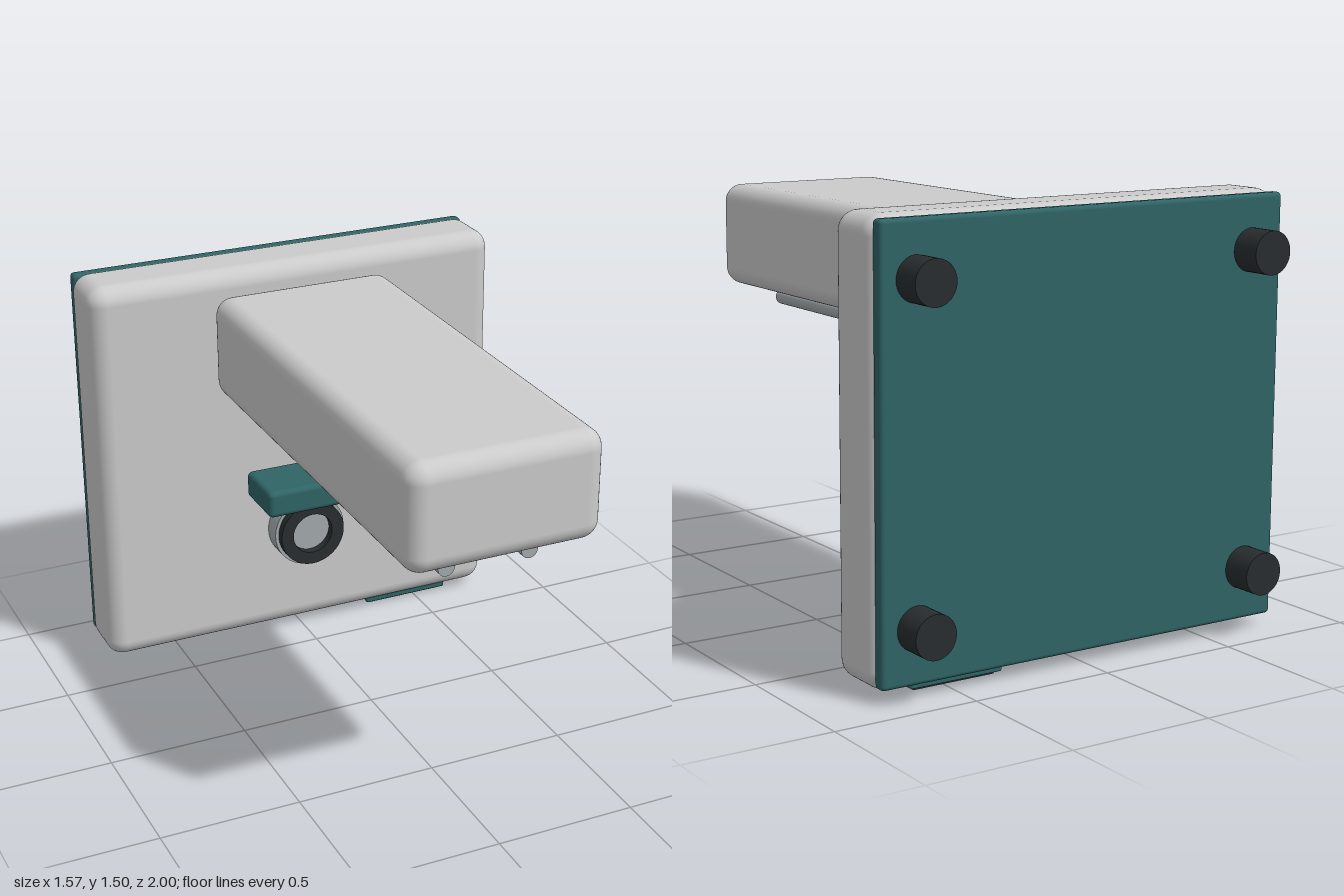
import * as THREE from 'three';
import { RoundedBoxGeometry } from 'three/addons/geometries/RoundedBoxGeometry.js';

const mat = (color) => new THREE.MeshStandardMaterial({ color });

export function createModel() {
  const model = new THREE.Group();
  const shell = mat(0xd3d7d4), teal = mat(0x2f6466), black = mat(0x282d2f);
  const metal = mat(0xa3abad), paleTeal = mat(0x8fb3ad), blue = mat(0x34658a);

  const add = (name, geometry, material, x = 0, y = 0, z = 0) => {
    const mesh = new THREE.Mesh(geometry, material);
    mesh.name = name;
    mesh.position.set(x, y, z);
    model.add(mesh);
    return mesh;
  };
  // Box given by its limits; r rounds the edges
  const box = (name, material, [x0, x1], [y0, y1], [z0, z1], r = 0) => {
    const size = [x1 - x0, y1 - y0, z1 - z0];
    const geometry = r ? new RoundedBoxGeometry(...size, 5, r) : new THREE.BoxGeometry(...size);
    return add(name, geometry, material, (x0 + x1) / 2, (y0 + y1) / 2, (z0 + z1) / 2);
  };
  // Cylinder lying along z
  const rod = (name, material, r, x, y, z0, z1) =>
    add(name, new THREE.CylinderGeometry(r, r, z1 - z0, 40).rotateX(Math.PI / 2), material, x, y, (z0 + z1) / 2);

  // Main housing and back cover
  box('housing', shell, [-0.785, 0.785], [0.027, 1.495], [-0.87, -0.622], 0.065);
  box('backCover', teal, [-0.773, 0.773], [0.045, 1.485], [-0.893, -0.845], 0.015);

  // Four mounting feet on the back
  for (const x of [-0.645, 0.645])
    for (const y of [0.227, 1.302]) rod('mountingFoot', black, 0.073, x, y, -1, -0.89);

  // Projecting arm with the plate and rails below it
  box('arm', shell, [-0.34, 0.34], [1.045, 1.42], [-0.622, 1], 0.065);
  box('armPlate', paleTeal, [-0.21, 0.21], [1.028, 1.05], [-0.39, 0.89], 0.006);
  for (const x of [-0.147, 0.147]) rod('rail', metal, 0.029, x, 0.993, -0.355, 0.87);

  // Small shelf in front of the housing
  box('shelf', teal, [-0.263, 0.263], [0.658, 0.76], [-0.52, -0.298], 0.02);

  // Round socket: collar with a raised dark ring
  rod('socketCollar', metal, 0.14, 0, 0.447, -0.63, -0.552);
  const ringShape = new THREE.Shape().absarc(0, 0, 0.127, 0, Math.PI * 2);
  ringShape.holes.push(new THREE.Path().absarc(0, 0, 0.079, 0, Math.PI * 2, true));
  add('socketRing', new THREE.ExtrudeGeometry(ringShape, { depth: 0.035, bevelEnabled: false, curveSegments: 40 }),
    black, 0, 0.447, -0.555);

  // Underside: port with inset, slot and indicator
  box('portFrame', teal, [0.29, 0.63], [0.01, 0.045], [-0.83, -0.662], 0.006);
  box('portInset', black, [0.31, 0.61], [0, 0.02], [-0.81, -0.682]);
  box('slot', teal, [-0.18, 0.18], [0.022, 0.04], [-0.78, -0.715]);
  add('indicator', new THREE.CylinderGeometry(0.02, 0.02, 0.025, 24), blue, -0.6, 0.0225, -0.745);

  return model;
}
